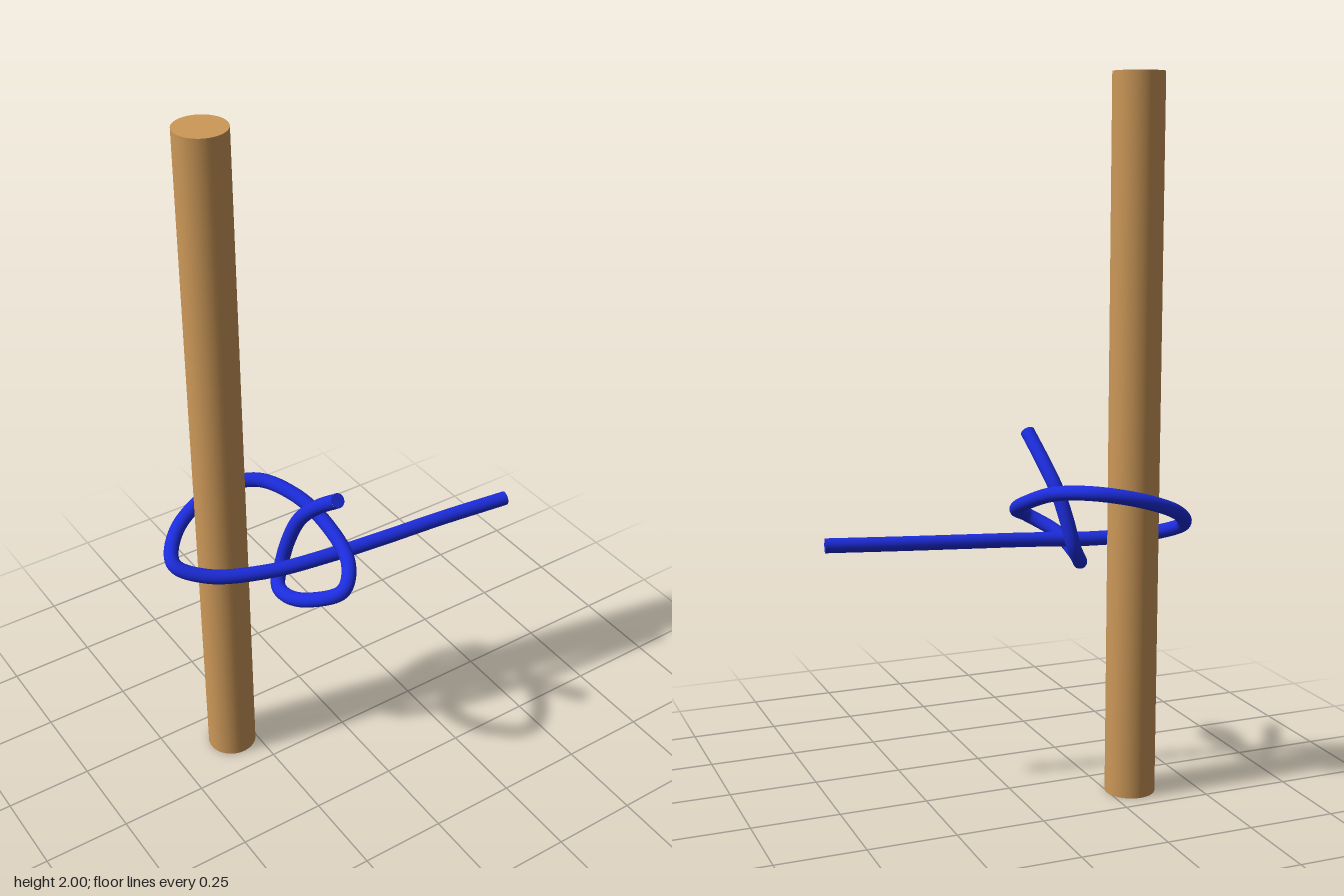
import * as THREE from 'three';

const ROPE_RADIUS = 0.0205;

// Centre line of the rope: long end, round the pole, under itself, short end
const PATH = [
  [0.495, 0.73, 0.117], [0.283, 0.724, 0.085], [0.09, 0.718, 0.062],
  [-0.065, 0.714, 0.04], [-0.25, 0.71, 0.0], [-0.41, 0.725, -0.06],
  [-0.477, 0.757, -0.12], [-0.424, 0.81, -0.19], [-0.29, 0.862, -0.225],
  [-0.17, 0.882, -0.185], [-0.105, 0.866, -0.08], [-0.076, 0.823, 0.04],
  [-0.087, 0.775, 0.16], [-0.145, 0.742, 0.22], [-0.21, 0.7, 0.16],
  [-0.228, 0.658, 0.065], [-0.214, 0.647, -0.005], [-0.184, 0.695, -0.03],
  [-0.166, 0.77, -0.022], [-0.148, 0.855, 0.01], [-0.132, 0.93, 0.075],
  [-0.121, 1.0, 0.16],
];

function createRope() {
  const rope = new THREE.Group();
  rope.name = 'rope';
  const material = new THREE.MeshStandardMaterial({ color: 0x1c2cdc });
  const curve = new THREE.CatmullRomCurve3(PATH.map((p) => new THREE.Vector3(...p)));
  const strand = new THREE.Mesh(new THREE.TubeGeometry(curve, 300, ROPE_RADIUS, 20), material);
  strand.name = 'ropeStrand';
  rope.add(strand);

  // Flat discs closing both cut ends
  for (const [name, t, sign] of [['longEndCap', 0, -1], ['shortEndCap', 1, 1]]) {
    const cap = new THREE.Mesh(new THREE.CircleGeometry(ROPE_RADIUS, 20), material);
    cap.name = name;
    const outward = curve.getTangentAt(t).multiplyScalar(sign);
    cap.quaternion.setFromUnitVectors(new THREE.Vector3(0, 0, 1), outward);
    cap.position.copy(curve.getPointAt(t));
    rope.add(cap);
  }
  return rope;
}

export function createModel() {
  const model = new THREE.Group();
  model.name = 'hitchOnPole';

  // Upright wooden pole
  const pole = new THREE.Mesh(
    new THREE.CylinderGeometry(0.071, 0.071, 2, 48),
    new THREE.MeshStandardMaterial({ color: 0xcc9858 }),
  );
  pole.name = 'pole';
  pole.position.set(-0.316, 1, -0.133);

  model.add(pole, createRope());
  return model;
}
